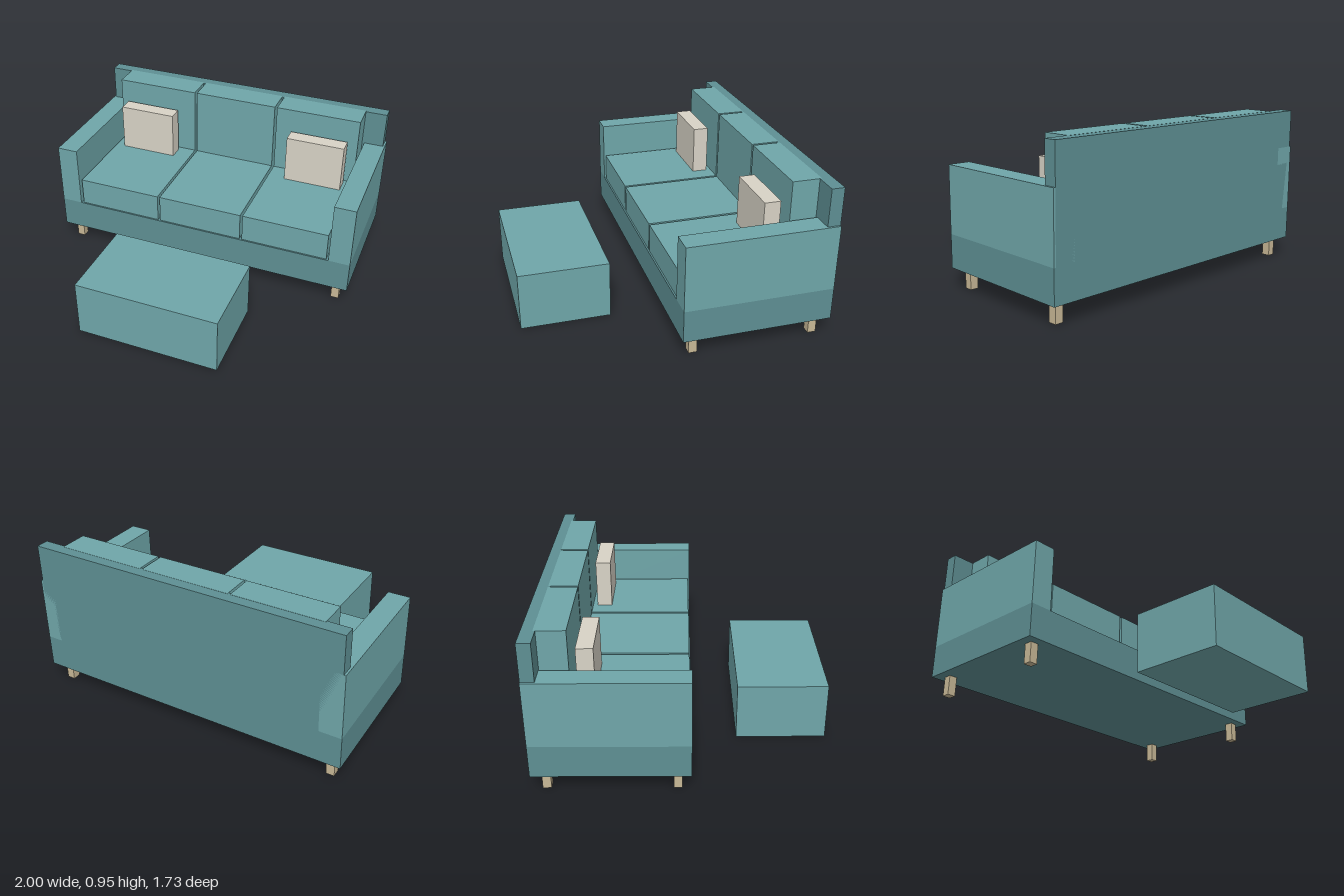
import * as THREE from 'three';

const mat = (color) => new THREE.MeshStandardMaterial({ color });

export function createModel() {
  const model = new THREE.Group();
  model.name = 'sofaSet';
  const fabric = mat(0x6fa6a9), frame = mat(0x5e8f93), linen = mat(0xd8d3c6), wood = mat(0xc8b896);

  // Box given by its extents on each axis
  function box(name, [x0, x1], [y0, y1], [z0, z1], material) {
    const mesh = new THREE.Mesh(new THREE.BoxGeometry(x1 - x0, y1 - y0, z1 - z0), material);
    mesh.position.set((x0 + x1) / 2, (y0 + y1) / 2, (z0 + z1) / 2);
    mesh.name = name;
    model.add(mesh);
  }
  const around = (c, size) => [c - size / 2, c + size / 2];

  // Frame: base and backrest
  box('base', [-1, 1], [0.12, 0.32], [-0.865, 0.035], frame);
  box('backrest', [-0.988, 0.988], [0.32, 0.95], [-0.865, -0.787], frame);

  // Three seat cushions with matching back cushions
  ['right', 'middle', 'left'].forEach((side, i) => {
    const x = around((i - 1) * 0.571, 0.555);
    box(side + 'SeatCushion', x, [0.32, 0.5], [-0.787, 0.025], fabric);
    box(side + 'BackCushion', x, [0.5, 0.951], [-0.8, -0.625], fabric);
  });

  // Mirrored arms, pillows and legs
  for (const [side, s] of [['left', 1], ['right', -1]]) {
    box(side + 'Arm', around(s * 0.932, 0.136), [0.32, 0.72], [-0.865, 0.035], fabric);
    box(side + 'Pillow', around(s * 0.597, 0.38), [0.5, 0.81], [-0.595, -0.497], linen);
    box(side + 'FrontLeg', around(s * 0.92, 0.05), [0, 0.12], around(-0.042, 0.05), wood);
    box(side + 'BackLeg', around(s * 0.92, 0.05), [0, 0.12], around(-0.783, 0.05), wood);
  }

  // Footstool in front of the sofa
  box('footstool', [-0.448, 0.448], [0, 0.36], [0.315, 0.865], fabric);
  return model;
}
